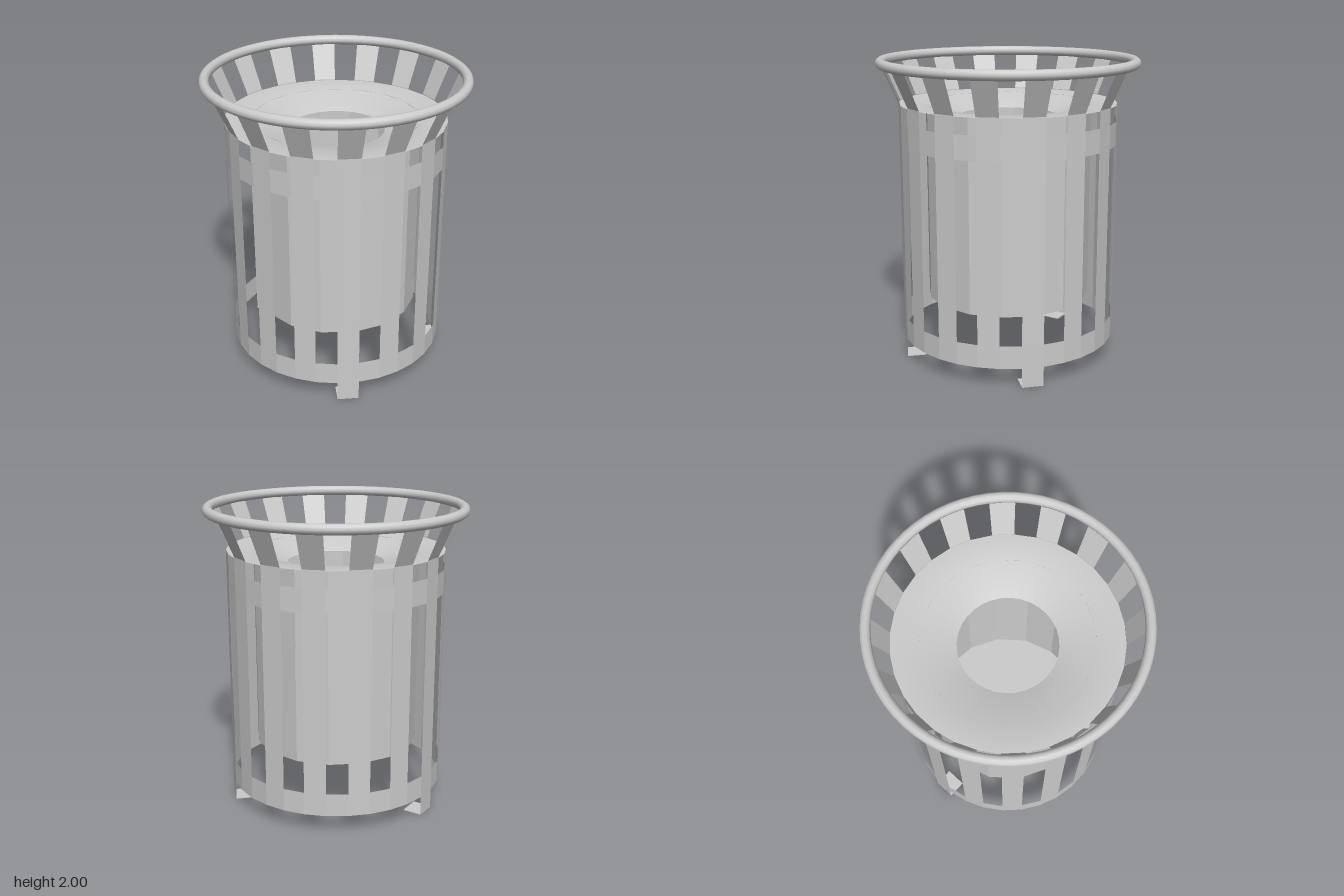
import * as THREE from 'three';

const SIDES = 32;
const STEP = (Math.PI * 2) / SIDES;
const R = 0.715;

export function createModel() {
  const bin = new THREE.Group();
  bin.name = 'litterBin';
  const flat = new THREE.MeshStandardMaterial({ color: 0xcccccc, flatShading: true, side: THREE.DoubleSide });
  const smooth = new THREE.MeshStandardMaterial({ color: 0xcccccc, side: THREE.DoubleSide });

  const add = (name, geometry, material = flat, parent = bin) => {
    const mesh = new THREE.Mesh(geometry, material);
    mesh.name = name;
    parent.add(mesh);
    return mesh;
  };

  // Thin sheet wall between two heights: a full ring, or only facet k of it
  const wall = (name, y0, y1, r0, r1, k, parent) => {
    const whole = k === undefined;
    const g = new THREE.CylinderGeometry(r1, r0, y1 - y0, whole ? SIDES : 1, 1, true,
      whole ? 0 : k * STEP, whole ? Math.PI * 2 : STEP);
    g.translate(0, (y0 + y1) / 2, 0);
    return add(name, g, flat, parent);
  };

  // Bands of the cage
  wall('lowerBand', 0.13, 0.28, R, R);
  wall('upperBand', 1.445, 1.6, R, R);

  // Slats on every other facet, flaring out to the rim
  for (let k = 1; k < SIDES; k += 2) {
    const slat = new THREE.Group();
    slat.name = 'slat';
    bin.add(slat);
    wall('slatBody', 0.28, 1.445, R, R, k, slat);
    wall('slatNeck', 1.6, 1.71, R, R, k, slat);
    wall('slatFlare', 1.71, 1.96, R, 0.826, k, slat);
  }

  // Three legs carry slats to the ground and turn inward as feet
  for (const k of [31, 7, 19]) {
    const leg = new THREE.Group();
    leg.name = 'leg';
    bin.add(leg);
    wall('legStrip', 0, 0.13, R, R, k, leg);
    const mid = (k + 0.5) * STEP;
    const apothem = R * Math.cos(STEP / 2);
    const foot = add('foot', new THREE.BoxGeometry(2 * R * Math.sin(STEP / 2), 0.006, 0.125), flat, leg);
    foot.position.set(Math.sin(mid) * (apothem - 0.0625), 0.003, Math.cos(mid) * (apothem - 0.0625));
    foot.rotation.y = mid;
  }

  // Rolled rim
  const rim = add('rim', new THREE.TorusGeometry(0.825, 0.033, 10, 64), smooth);
  rim.rotation.x = Math.PI / 2;
  rim.position.y = 1.967;

  // Lid: flat ledge, then a shallow funnel to the open mouth
  const v = (x, y) => new THREE.Vector2(x, y);
  add('lid', new THREE.LatheGeometry([v(0.315, 1.62), v(0.545, 1.7), v(R, 1.705)], SIDES), smooth);

  // Inner container with a closed floor
  add('liner', new THREE.LatheGeometry([v(0, 0.405), v(0.545, 0.405), v(0.545, 1.7)], 16), flat);

  return bin;
}
